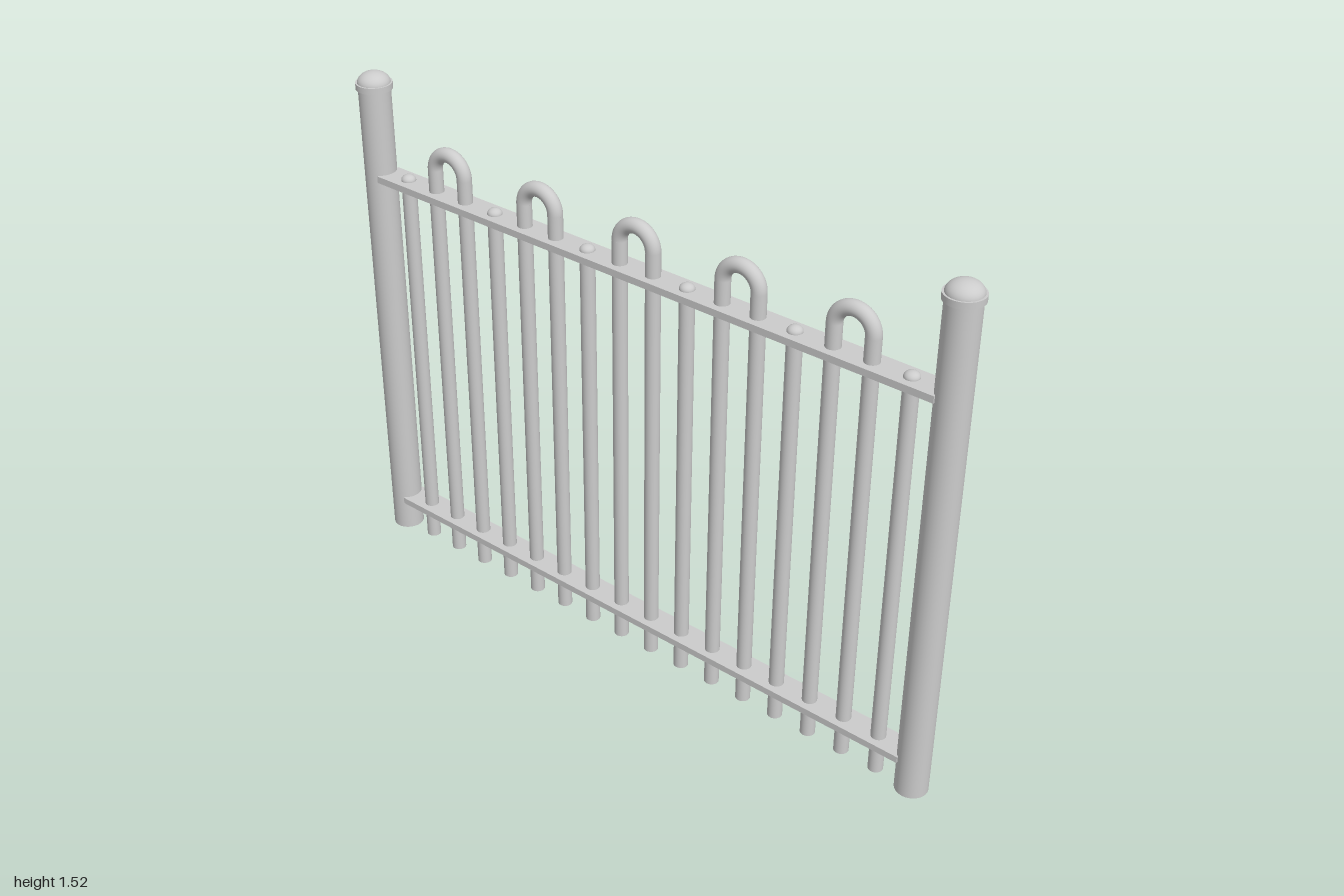
import * as THREE from 'three';

const material = new THREE.MeshStandardMaterial({ color: 0xcccccc, side: THREE.DoubleSide });

function add(parent, name, geometry, x = 0, y = 0, z = 0) {
  const mesh = new THREE.Mesh(geometry, material);
  mesh.name = name;
  mesh.position.set(x, y, z);
  parent.add(mesh);
  return mesh;
}

// Open tube standing on the ground
function pipe(parent, name, radius, height, x) {
  add(parent, name, new THREE.CylinderGeometry(radius, radius, height, 32, 1, true), x, height / 2);
}

// Half-ellipsoid cap
function dome(parent, name, radius, height, x, y) {
  const geometry = new THREE.SphereGeometry(radius, 32, 12, 0, Math.PI * 2, 0, Math.PI / 2);
  geometry.scale(1, height / radius, 1);
  add(parent, name, geometry, x, y);
}

export function createModel() {
  const fence = new THREE.Group();
  fence.name = 'fencePanel';
  const pitch = 0.1113, barRadius = 0.021;

  // End posts with a collar and domed cap
  for (const side of [-1, 1]) {
    const post = new THREE.Group();
    post.name = side > 0 ? 'leftPost' : 'rightPost';
    post.position.x = side * 0.948;
    pipe(post, 'postTube', 0.046, 1.475, 0);
    add(post, 'capCollar', new THREE.CylinderGeometry(0.052, 0.052, 0.018, 32), 0, 1.476);
    dome(post, 'capDome', 0.047, 0.033, 0, 1.483);
    fence.add(post);
  }

  // Flat horizontal rails
  for (const [name, y] of [['bottomRail', 0.105], ['topRail', 1.211]]) {
    add(fence, name, new THREE.BoxGeometry(1.84, 0.02, 0.082), 0, y);
  }

  // Straight pickets with rounded tips
  for (let i = 0; i < 6; i++) {
    const picket = new THREE.Group();
    picket.name = 'picket';
    picket.position.x = (i - 2.5) * pitch * 3;
    pipe(picket, 'picketTube', barRadius, 1.222, 0);
    dome(picket, 'picketTip', barRadius, 0.016, 0, 1.222);
    fence.add(picket);
  }

  // Hoops: two uprights joined by a half-ring
  for (let i = 0; i < 5; i++) {
    const hoop = new THREE.Group();
    hoop.name = 'hoop';
    hoop.position.x = (i - 2) * pitch * 3;
    for (const side of [-1, 1]) pipe(hoop, 'hoopUpright', barRadius, 1.288, side * pitch / 2);
    add(hoop, 'hoopBend', new THREE.TorusGeometry(pitch / 2, barRadius, 24, 32, Math.PI), 0, 1.288);
    fence.add(hoop);
  }

  return fence;
}
